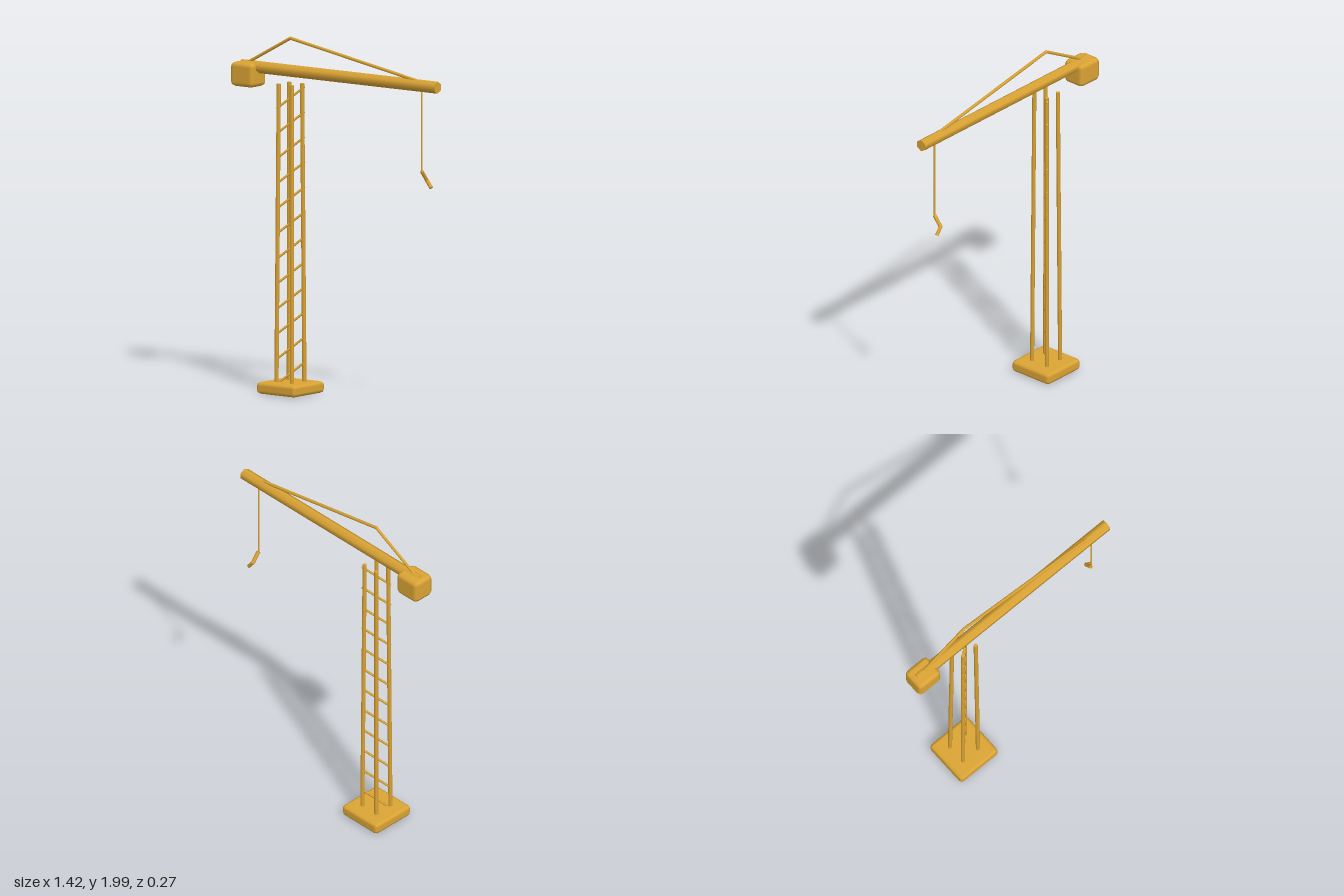
import * as THREE from 'three';
import { RoundedBoxGeometry } from 'three/addons/geometries/RoundedBoxGeometry.js';

export function createModel() {
  const crane = new THREE.Group();
  crane.name = 'towerCrane';
  const yellow = new THREE.MeshStandardMaterial({ color: 0xdca535 });
  yellow.name = 'craneYellow';

  const V = (x, y, z) => new THREE.Vector3(x, y, z);
  const add = (name, geometry, parent = crane) => {
    const mesh = new THREE.Mesh(geometry, yellow);
    mesh.name = name;
    parent.add(mesh);
    return mesh;
  };
  // straight six-sided rod between two points
  const rod = (name, a, b, radius, parent = crane) => {
    const mesh = add(name, new THREE.CylinderGeometry(radius, radius, a.distanceTo(b), 6), parent);
    mesh.position.copy(a).add(b).multiplyScalar(0.5);
    mesh.quaternion.setFromUnitVectors(V(0, 1, 0), b.clone().sub(a).normalize());
    return mesh;
  };
  // box with bevelled, softly shaded edges
  const block = (name, w, h, d, bevel, x, y, z) =>
    add(name, new RoundedBoxGeometry(w, h, d, 1, bevel), crane).position.set(x, y, z);

  const towerX = -0.335;

  // footing
  block('base', 0.274, 0.065, 0.274, 0.02, towerX, 0.0375, 0);

  // four legs leaning slightly inward
  const tower = new THREE.Group();
  tower.name = 'tower';
  tower.position.x = towerX;
  crane.add(tower);
  for (const sx of [-1, 1]) {
    for (const sz of [-1, 1]) {
      rod('leg', V(sx * 0.055, 0.05, sz * 0.055), V(sx * 0.046, 1.735, sz * 0.046), 0.012, tower);
    }
  }

  // diagonal braces running corner to corner through the tower
  for (let i = 0; i < 12; i++) {
    const y = 0.055 + i * 0.14;
    rod('brace', V(-0.056, y, 0.056), V(0.056, y + 0.122, -0.056), 0.0065, tower);
  }

  // jib, with one ridge upward
  const jib = add('jib', new THREE.CylinderGeometry(0.034, 0.034, 1.385, 6));
  jib.geometry.rotateZ(-Math.PI / 2);
  jib.geometry.rotateX(Math.PI / 2);
  jib.position.set(0.0125, 1.807, 0);

  // counterweight at the rear end
  block('counterweight', 0.16, 0.136, 0.136, 0.026, -0.634, 1.763, 0);

  // tie rods over the peak
  const peak = V(towerX, 1.989, 0);
  rod('rearTie', V(-0.635, 1.828, 0), peak, 0.009);
  rod('frontTie', peak, V(0.575, 1.83, 0), 0.009);
  const joint = add('tieJoint', new THREE.SphereGeometry(0.009, 8, 6));
  joint.position.copy(peak);

  // cable and bent hook
  const bend = V(0.593, 1.275, -0.045);
  rod('cable', V(0.593, 1.325, 0), V(0.593, 1.79, 0), 0.005);
  rod('hookShank', V(0.593, 1.33, 0), bend, 0.011);
  rod('hookTip', bend, V(0.625, 1.234, -0.045), 0.011);
  const hookJoint = add('hookJoint', new THREE.SphereGeometry(0.011, 8, 6));
  hookJoint.position.copy(bend);

  return crane;
}
